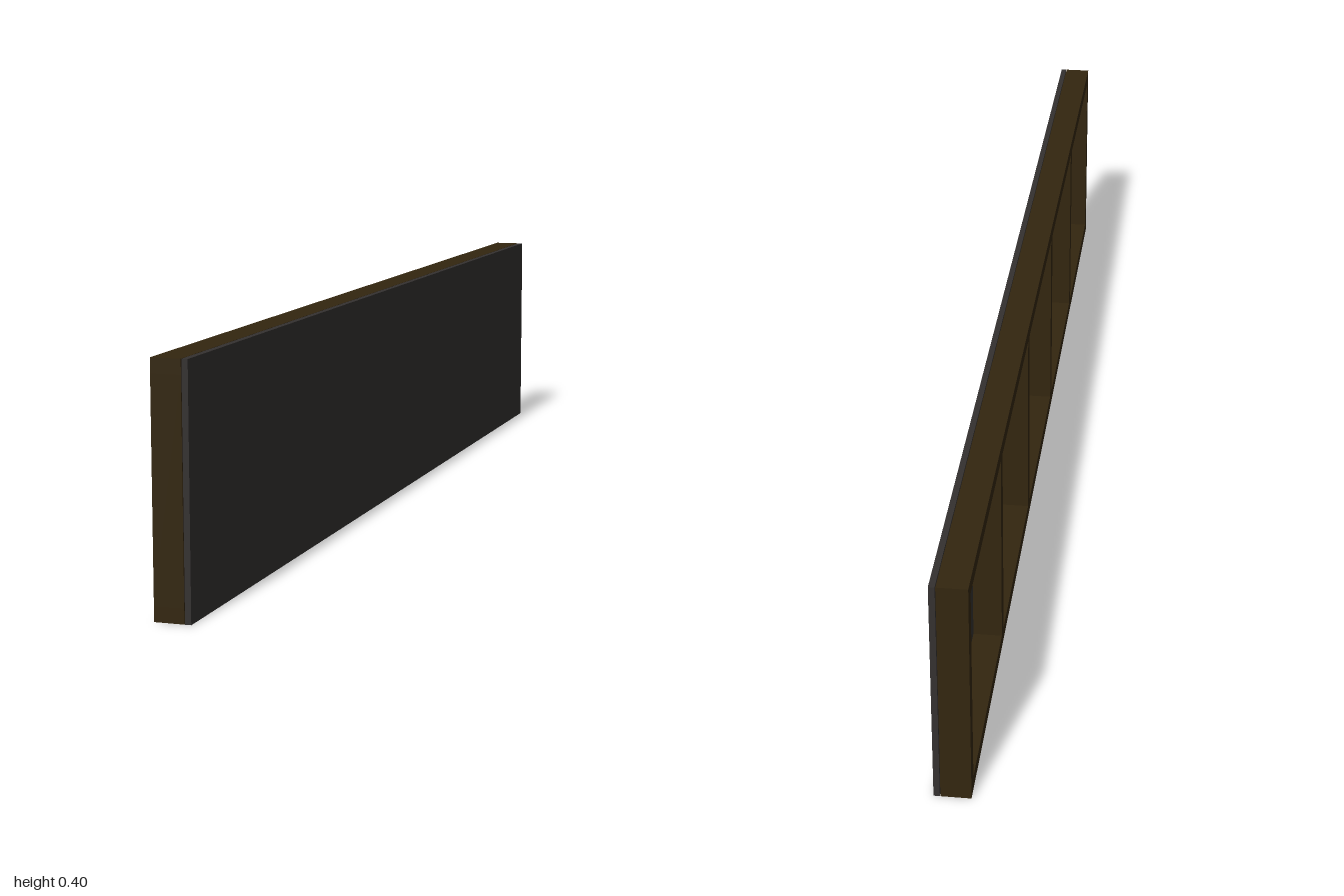
import * as THREE from 'three';

const LENGTH = 2, HEIGHT = 0.4;
const BOARD = 0.024; // thickness of the frame timber
const BACK = -0.03, JOINT = 0.019, FACE = 0.03;

export function createModel() {
  const model = new THREE.Group();
  model.name = 'framedWallPanel';
  const wood = new THREE.MeshStandardMaterial({ color: 0x33260f });
  const sheet = new THREE.MeshStandardMaterial({ color: 0x343130 });

  const box = (name, material, x0, x1, y0, y1, z0, z1) => {
    const mesh = new THREE.Mesh(new THREE.BoxGeometry(x1 - x0, y1 - y0, z1 - z0), material);
    mesh.position.set((x0 + x1) / 2, (y0 + y1) / 2, (z0 + z1) / 2);
    mesh.name = name;
    model.add(mesh);
  };

  // Facing sheet on the +x side
  box('facingSheet', sheet, JOINT + 0.001, FACE, 0, HEIGHT, -LENGTH / 2, LENGTH / 2);

  // Full-length rails
  box('bottomRail', wood, BACK, JOINT, 0, BOARD, -LENGTH / 2, LENGTH / 2);
  box('topRail', wood, BACK, JOINT, HEIGHT - BOARD, HEIGHT, -LENGTH / 2, LENGTH / 2);

  // End posts and four studs, making five equal bays
  const bays = 5;
  for (let i = 0; i <= bays; i++) {
    const end = i === 0 || i === bays;
    const limit = LENGTH / 2 - BOARD / 2;
    const z = THREE.MathUtils.clamp(-LENGTH / 2 + (i * LENGTH) / bays, -limit, limit);
    box(end ? 'endPost' : 'stud', wood, BACK, JOINT, BOARD, HEIGHT - BOARD, z - BOARD / 2, z + BOARD / 2);
  }
  return model;
}
